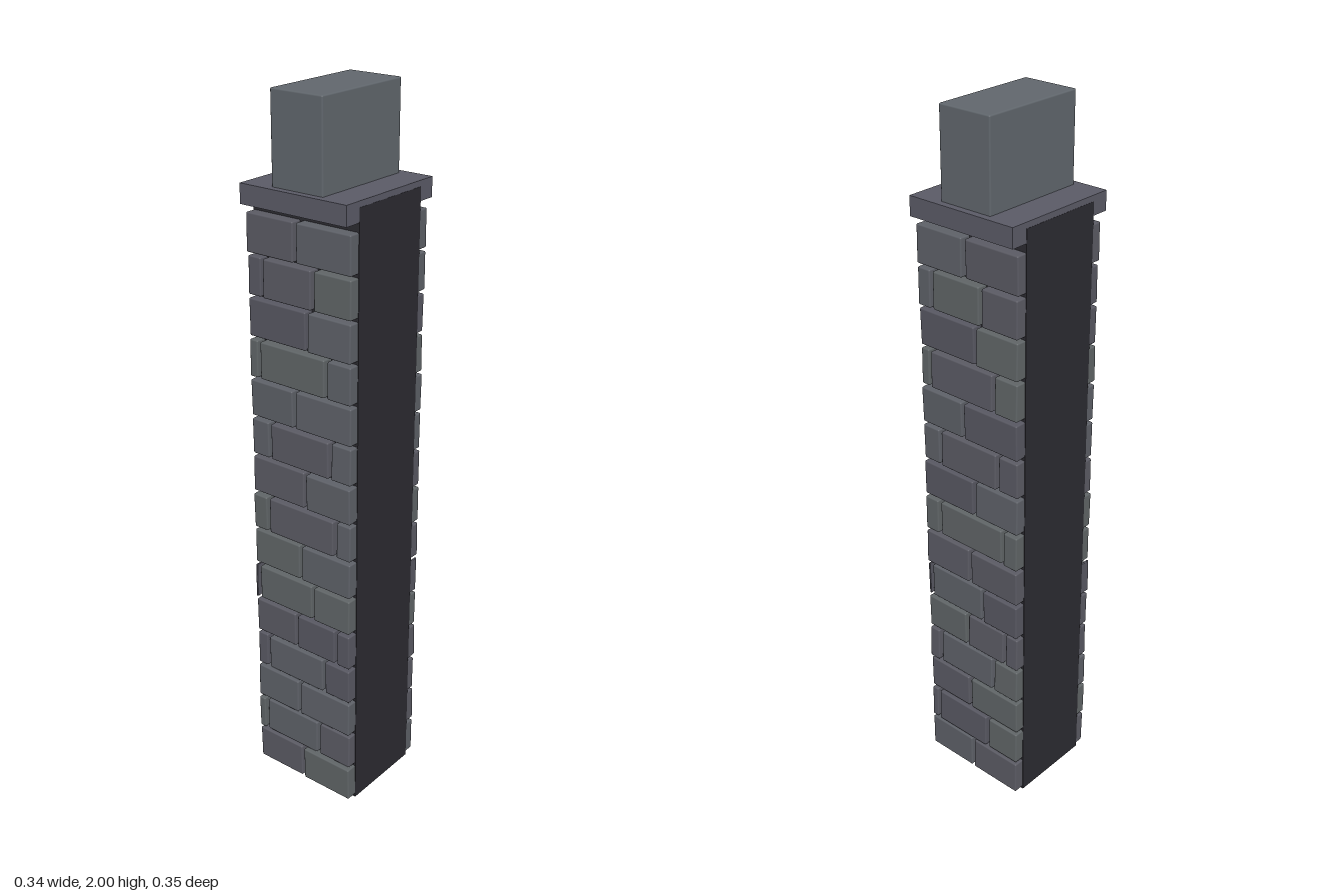
import * as THREE from 'three';
import { RoundedBoxGeometry } from 'three/addons/geometries/RoundedBoxGeometry.js';

// x positions of the upright joints in each brick row, bottom to top
const JOINTS = [
  [-0.003], [-0.14, 0.055], [-0.013], [-0.127, 0.077], [-0.02, 0.12],
  [-0.155, 0.04], [-0.003], [-0.115, 0.115], [0.015], [-0.105, 0.098],
  [-0.02], [-0.135, 0.087], [0.025], [-0.12, 0.045], [-0.01],
];
const HALF_WIDTH = 0.166, CORE_DEPTH = 0.125;
const ROW_PITCH = 0.1125, BRICK_HEIGHT = 0.103, GAP = 0.01;

function seeded(seed) {
  return () => (seed = (seed * 16807) % 2147483647) / 2147483647;
}

function material(color) {
  return new THREE.MeshStandardMaterial({ color });
}

function addMesh(parent, name, geometry, mat, x, y, z) {
  const mesh = new THREE.Mesh(geometry, mat);
  mesh.name = name;
  mesh.position.set(x, y, z);
  parent.add(mesh);
  return mesh;
}

// One face of staggered bricks, each slightly uneven in depth and tilt
function brickFace(name, tones, random) {
  const face = new THREE.Group();
  face.name = name;
  JOINTS.forEach((joints, row) => {
    const edges = [-HALF_WIDTH - GAP / 2, ...joints, HALF_WIDTH + GAP / 2];
    for (let i = 0; i < edges.length - 1; i++) {
      const width = edges[i + 1] - edges[i] - GAP;
      if (width < 0.004) continue;
      const front = 0.153 + random() * 0.004;
      const back = CORE_DEPTH - 0.012;
      const radius = Math.min(0.004, width / 3);
      const brick = addMesh(
        face, 'brick',
        new RoundedBoxGeometry(width, BRICK_HEIGHT, front - back, 2, radius),
        tones[Math.floor(random() * tones.length)],
        (edges[i] + edges[i + 1]) / 2,
        0.0085 + row * ROW_PITCH + BRICK_HEIGHT / 2,
        (front + back) / 2
      );
      brick.rotation.x = (random() - 0.5) * 0.05;
    }
  });
  return face;
}

export function createModel() {
  const model = new THREE.Group();
  model.name = 'brickPillar';
  const random = seeded(41);
  const tones = [0x575761, 0x5a5a63, 0x5d6067, 0x5f6466].map(material);

  // Dark mortar core
  addMesh(model, 'core', new THREE.BoxGeometry(0.335, 1.747, CORE_DEPTH * 2),
    material(0x2b2a30), 0, 0.8735, 0);

  // Bricks on the front and back
  model.add(brickFace('frontBricks', tones, random));
  const backBricks = brickFace('backBricks', tones, random);
  backBricks.rotation.y = Math.PI;
  model.add(backBricks);

  // Capping slab and the upright block on it
  addMesh(model, 'capSlab', new THREE.BoxGeometry(0.334, 0.053, 0.348),
    material(0x5a5a66), 0, 1.7365, 0);
  addMesh(model, 'topBlock', new RoundedBoxGeometry(0.16, 0.26, 0.308, 2, 0.004),
    material(0x60666c), 0, 1.87, 0);

  return model;
}
